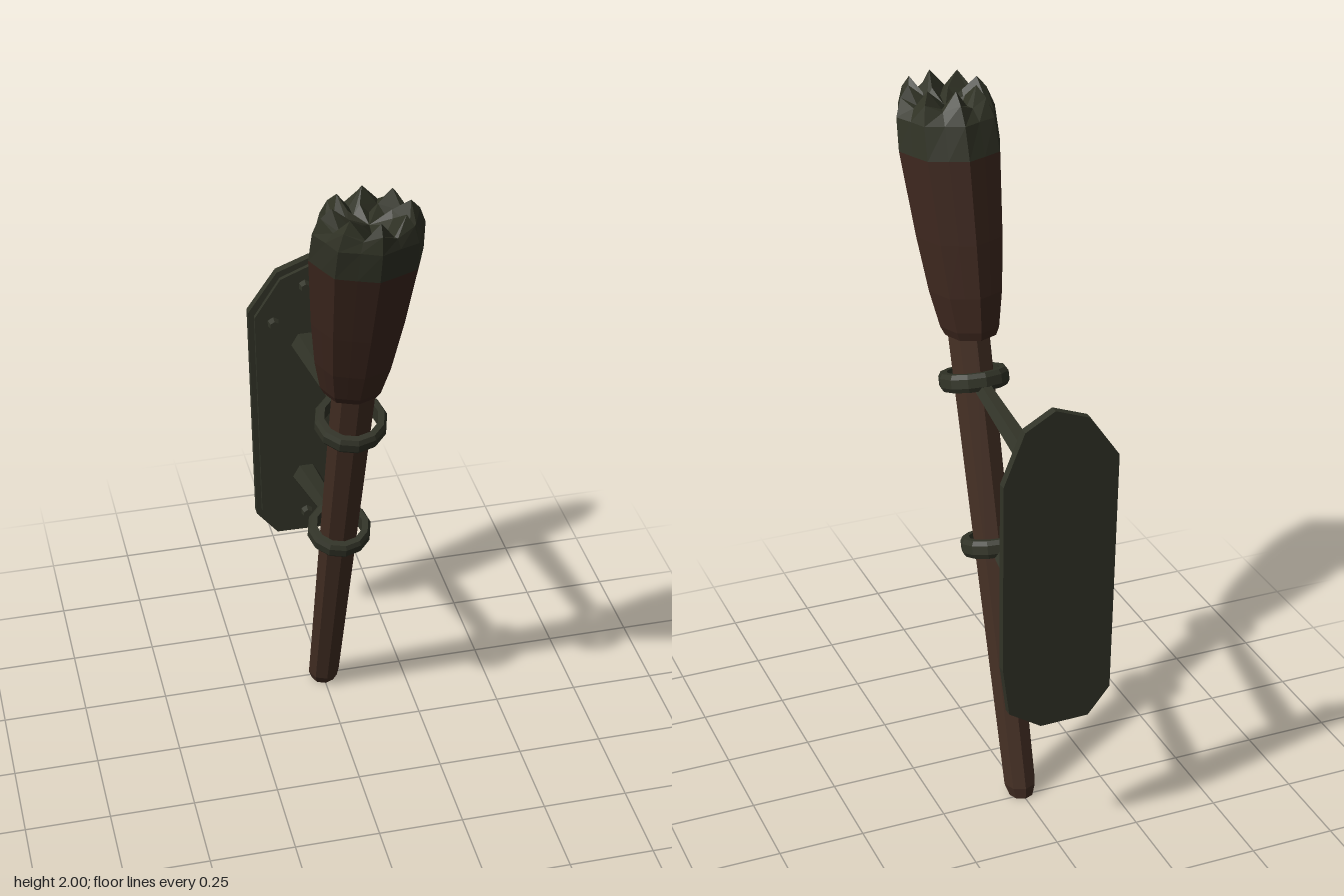
import * as THREE from 'three';

const flat = (name, color) => {
  const m = new THREE.MeshStandardMaterial({ color, flatShading: true });
  m.name = name;
  return m;
};

// The torch leans forward: its centre line at height y
const axisZ = (y) => -0.235 + 0.302 * y;
const LEAN = Math.atan(0.302);

// Skin between level cross-sections that follow the leaning centre line.
// Row: [y, radius, valley radius factor, valley drop, twist]
function leaningSkin(rows, sides, cx = 0) {
  const point = ([y, r, valley = 1, drop = 0, twist = 0], i) => {
    const odd = i % 2 === 1;
    const a = (i / sides) * Math.PI * 2 + twist;
    const rad = odd ? r * valley : r;
    return [cx + rad * Math.sin(a), odd ? y - drop : y, axisZ(y) + rad * Math.cos(a)];
  };
  const pos = [];
  for (let k = 0; k < rows.length - 1; k++) {
    for (let i = 0; i < sides; i++) {
      const a = point(rows[k], i), b = point(rows[k], i + 1);
      const c = point(rows[k + 1], i + 1), d = point(rows[k + 1], i);
      if (rows[k][1] > 0) pos.push(...a, ...b, ...c);
      if (rows[k + 1][1] > 0) pos.push(...a, ...c, ...d);
      else if (rows[k][1] === 0) pos.push(...a, ...c, ...d);
    }
  }
  const g = new THREE.BufferGeometry();
  g.setAttribute('position', new THREE.Float32BufferAttribute(pos, 3));
  g.computeVertexNormals();
  return g;
}

export function createModel() {
  const group = new THREE.Group();
  const metal = flat('dark iron', 0x313327);
  const wood = flat('wood', 0x432e23);
  const cloth = flat('wrapped cloth', 0x3d271e);
  const char = flat('charred cloth', 0x303225);

  const add = (name, geometry, material) => {
    const mesh = new THREE.Mesh(geometry, material);
    mesh.name = name;
    group.add(mesh);
    return mesh;
  };

  // Tapered wooden handle with a chamfered foot
  add('handle', leaningSkin([
    [0, 0], [0, 0.036], [0.035, 0.048], [0.7, 0.056], [1.36, 0.063],
  ], 8), wood);

  // Bulging cloth head
  add('headWrap', leaningSkin([
    [1.335, 0], [1.325, 0.078, 0.93], [1.35, 0.09, 0.93], [1.45, 0.111, 0.93],
    [1.6, 0.13, 0.93], [1.83, 0.151, 0.93],
  ], 16, -0.007), cloth);

  // Burnt tip: pleats rise to points, then sink in a swirl to the middle
  add('charredTip', leaningSkin([
    [1.83, 0.151, 0.93], [1.92, 0.147, 0.91], [1.97, 0.128, 0.9, 0.02],
    [2.0, 0.102, 0.95, 0.05], [1.965, 0.06, 0.95, 0.025, 0.22], [1.93, 0],
  ], 16, -0.007), char);

  // Collars square to the handle
  for (const [name, y, r] of [['upperCollar', 1.195, 0.102], ['lowerCollar', 0.73, 0.093]]) {
    const inner = r - 0.026, h = 0.026;
    const profile = [
      [inner, -h], [r - 0.008, -h], [r, -h * 0.5], [r, h * 0.5],
      [r - 0.008, h], [inner, h], [inner, -h],
    ].map(([x, v]) => new THREE.Vector2(x, v));
    const collar = add(name, new THREE.LatheGeometry(profile, 12), metal);
    collar.position.set(0, y, axisZ(y));
    collar.rotation.x = LEAN;
  }

  // Six-sided arms, thicker at the wall
  const up = new THREE.Vector3(0, 1, 0);
  for (const [name, y0, z0, y1] of [['upperArm', 1.19, 0.045, 1.092], ['lowerArm', 0.73, -0.09, 0.617]]) {
    const wall = new THREE.Vector3(0, y1, -0.47);
    const dir = new THREE.Vector3(0, y0, z0).sub(wall);
    const g = new THREE.CylinderGeometry(0.027, 0.042, dir.length(), 6).rotateY(Math.PI / 6);
    const arm = add(name, g, metal);
    arm.position.copy(wall).addScaledVector(dir, 0.5);
    arm.quaternion.setFromUnitVectors(up, dir.normalize());
  }

  // Irregular wall plate with a smaller raised face
  const outline = [
    [-0.155, 0.49], [-0.09, 0.41], [0.053, 0.408], [0.148, 0.47], [0.167, 0.615],
    [0.167, 1.18], [0.106, 1.33], [0.02, 1.378], [-0.08, 1.34], [-0.167, 1.215],
  ];
  const slab = (name, sx, sy, z, depth) => {
    const shape = new THREE.Shape(outline.map(([x, y]) => new THREE.Vector2(x * sx, 0.893 + (y - 0.893) * sy)));
    const g = new THREE.ExtrudeGeometry(shape, { depth, bevelEnabled: false });
    add(name, g.translate(0, 0, z), metal);
  };
  slab('wallPlate', 1, 1, -0.495, 0.025);
  slab('plateFace', 0.9, 0.96, -0.472, 0.015);

  // Bolts
  for (const [x, y] of [[0, 1.295], [-0.095, 1.18], [0.095, 1.18], [0, 0.487]]) {
    const bolt = add('bolt', new THREE.CylinderGeometry(0.014, 0.02, 0.024, 6).rotateX(Math.PI / 2), metal);
    bolt.position.set(x, y, -0.449);
  }
  return group;
}
